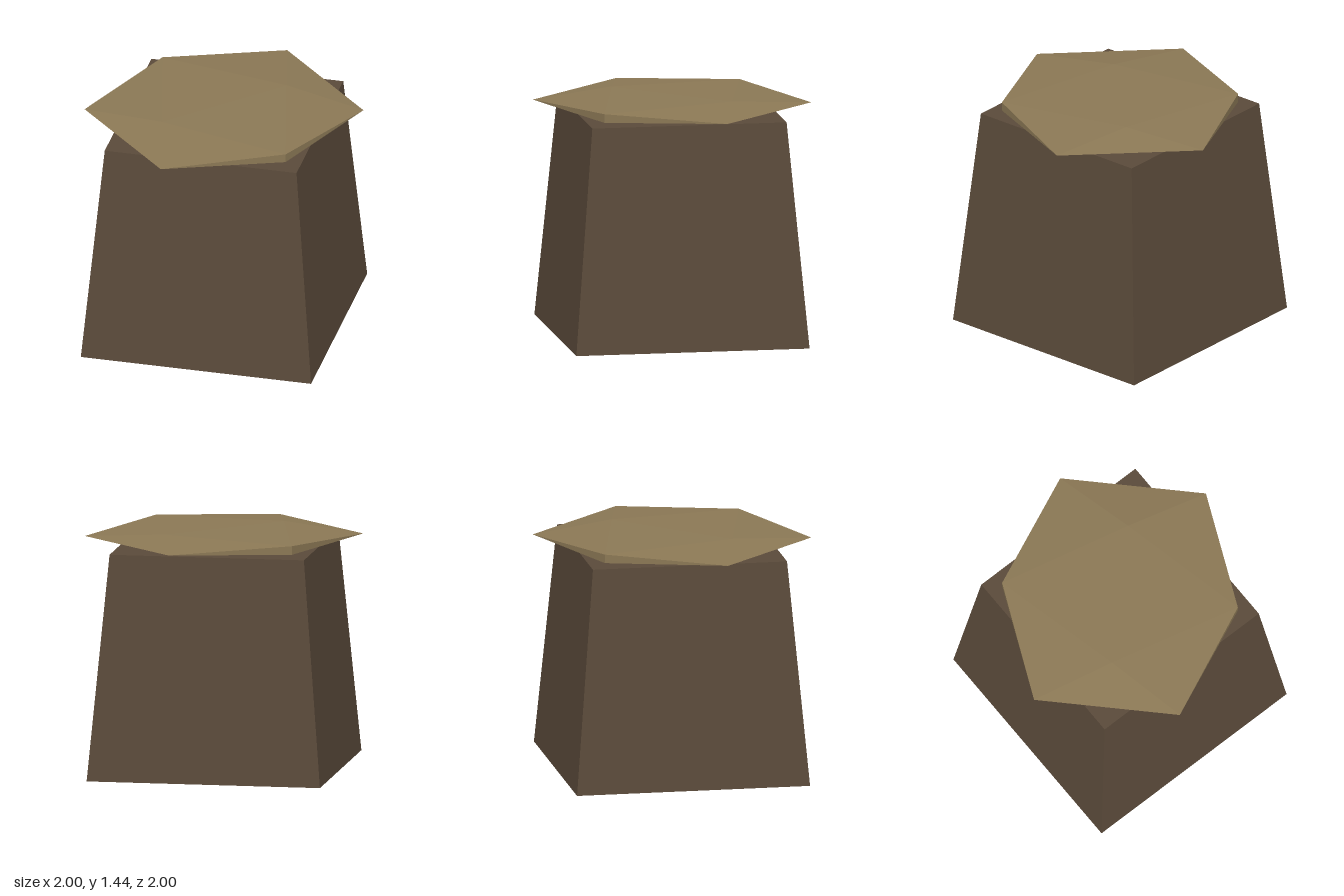
import * as THREE from 'three';

export function createModel() {
  const model = new THREE.Group();
  const darkWood = new THREE.MeshStandardMaterial({ name: 'dark wood', color: 0x5a4a3a, flatShading: true });
  const paleWood = new THREE.MeshStandardMaterial({ name: 'pale wood', color: 0x8b7855, flatShading: true });

  // Four-sided tapered base, corners on the axes
  const bodyHeight = 1.355;
  const body = new THREE.Mesh(new THREE.CylinderGeometry(0.833, 1, bodyHeight, 4), darkWood);
  body.name = 'taperedBase';
  body.position.y = bodyHeight / 2;
  model.add(body);

  // Flattened icosahedron slab resting on the base
  const slab = new THREE.Mesh(new THREE.IcosahedronGeometry(0.832, 0), paleWood);
  slab.name = 'topSlab';
  slab.scale.y = 0.06;
  slab.position.y = bodyHeight + 0.0425;
  model.add(slab);

  return model;
}
